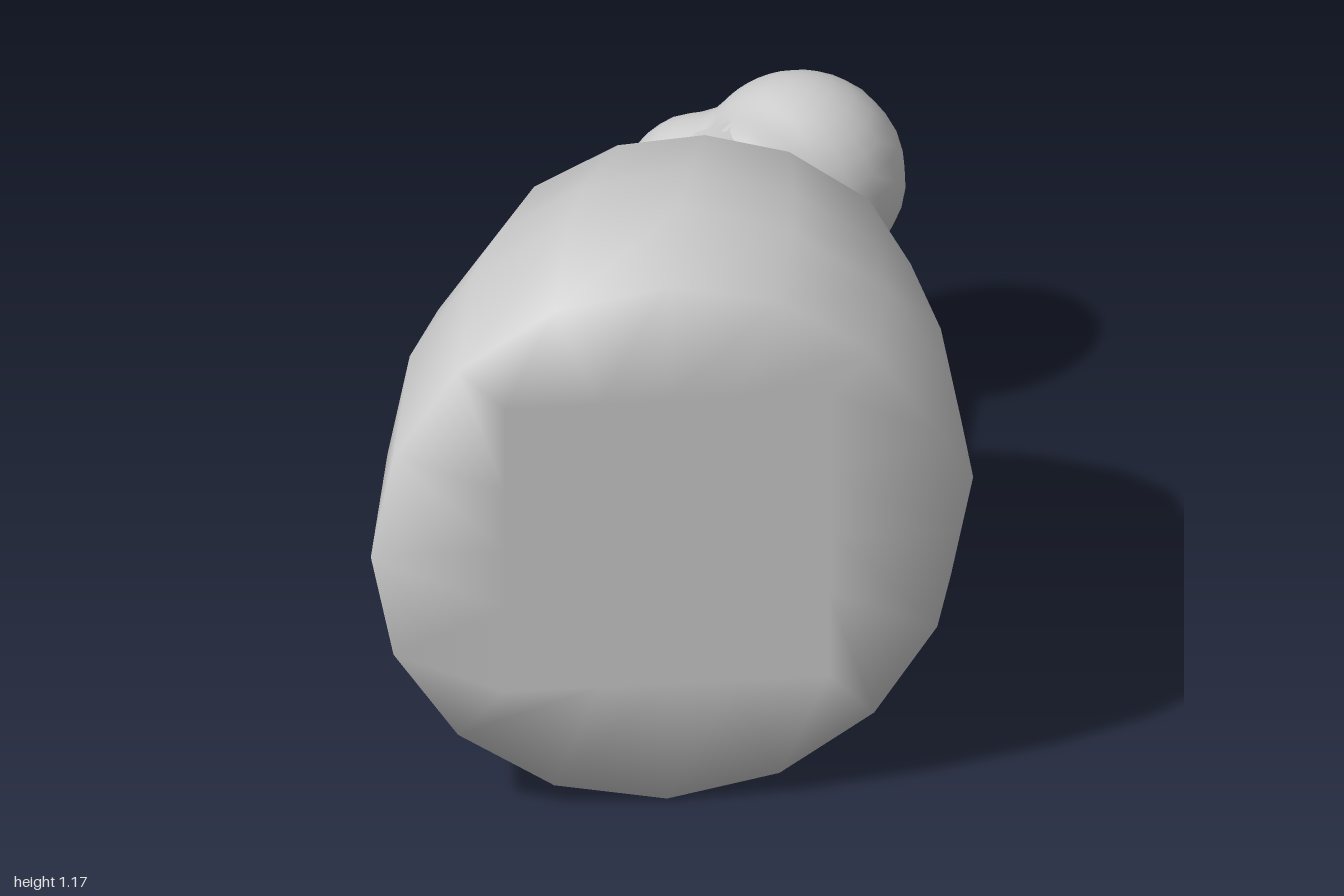
import * as THREE from 'three';
import { mergeVertices } from 'three/addons/utils/BufferGeometryUtils.js';

const SIDES = 16;
const CY = 0.59; // height of the long axis

// Closed skin through rings of 16 points, ordered back to front
function loft(rings) {
  const pos = rings.flat(2);
  const index = [];
  for (let i = 0; i < rings.length - 1; i++) {
    for (let j = 0; j < SIDES; j++) {
      const k = (j + 1) % SIDES;
      const a = i * SIDES + j, b = i * SIDES + k;
      index.push(a, b, b + SIDES, a, b + SIDES, a + SIDES);
    }
  }
  let geo = new THREE.BufferGeometry();
  geo.setAttribute('position', new THREE.Float32BufferAttribute(pos, 3));
  geo.setIndex(index);
  geo = mergeVertices(geo, 1e-5);
  geo.computeVertexNormals();
  return geo;
}

// radius(angle) and depth(x, corner); corner runs 0 (mid side) to 1 (diagonal)
function ring(radius, depth) {
  return Array.from({ length: SIDES }, (_, j) => {
    const a = (j / SIDES) * Math.PI * 2;
    const corner = Math.sin(2 * a) ** 2;
    const r = radius(a, corner);
    const x = r * Math.cos(a);
    return [x, CY + r * Math.sin(a), depth(x, corner)];
  });
}

const squarish = (half) => (a) => half / Math.max(Math.abs(Math.cos(a)), Math.abs(Math.sin(a)));
const cutPlane = (x) => 0.885 - 0.187 * x;

function meatGeometry() {
  return loft([
    ring(() => 0, () => -0.195),
    ring((a, c) => 0.23 + 0.075 * c, (x, c) => -0.165 + 0.035 * c),
    ring((a, c) => 0.425 + 0.05 * c, (x, c) => -0.045 + 0.08 * c),
    ring(() => 0.545, () => 0.33),
    ring(() => 0.587, () => 0.56),
    ring((a) => 0.581 - 0.004 * Math.cos(a), cutPlane), // slanted cut
    ring(squarish(0.32), cutPlane),
    ring(() => 0, cutPlane),
  ]);
}

// Two-lobed knob: a sphere pushed out to a soft union of overlapping balls
function knobGeometry() {
  const origin = new THREE.Vector3(0.04, 0.515, -0.78);
  const balls = [
    [0.13, 0.53, -0.785, 0.213],  // large lobe
    [-0.068, 0.475, -0.8, 0.162], // small lobe
    [0.05, 0.565, -0.67, 0.14],   // flare into the shaft
  ].map(([x, y, z, r]) => ({ offset: new THREE.Vector3(x, y, z).sub(origin), r }));

  let geo = new THREE.SphereGeometry(1, 28, 20);
  geo.deleteAttribute('uv');
  geo.deleteAttribute('normal');
  geo = mergeVertices(geo, 1e-4);
  const p = geo.attributes.position;
  const d = new THREE.Vector3();
  for (let i = 0; i < p.count; i++) {
    d.fromBufferAttribute(p, i).normalize();
    let sum = 0;
    for (const { offset, r } of balls) {
      const along = d.dot(offset);
      const exit = along + Math.sqrt(Math.max(0, along * along - offset.lengthSq() + r * r));
      sum += Math.max(exit, 0) ** 18;
    }
    d.multiplyScalar(sum ** (1 / 18)).add(origin);
    p.setXYZ(i, d.x, d.y, d.z);
  }
  geo.computeVertexNormals();
  return geo;
}

export function createModel() {
  const group = new THREE.Group();
  group.name = 'drumstick';
  const material = new THREE.MeshStandardMaterial({ color: 0xcccccc });
  const add = (name, geo) => {
    const mesh = new THREE.Mesh(geo, material);
    mesh.name = name;
    group.add(mesh);
    return mesh;
  };

  add('meat', meatGeometry());

  // Bone shaft along the axis, its ends buried in the meat and the knob
  const shaft = new THREE.CylinderGeometry(0.105, 0.105, 0.6, 8, 1, true);
  shaft.rotateX(Math.PI / 2).translate(0, CY, -0.4);
  add('boneShaft', shaft);

  add('boneKnob', knobGeometry());
  return group;
}
